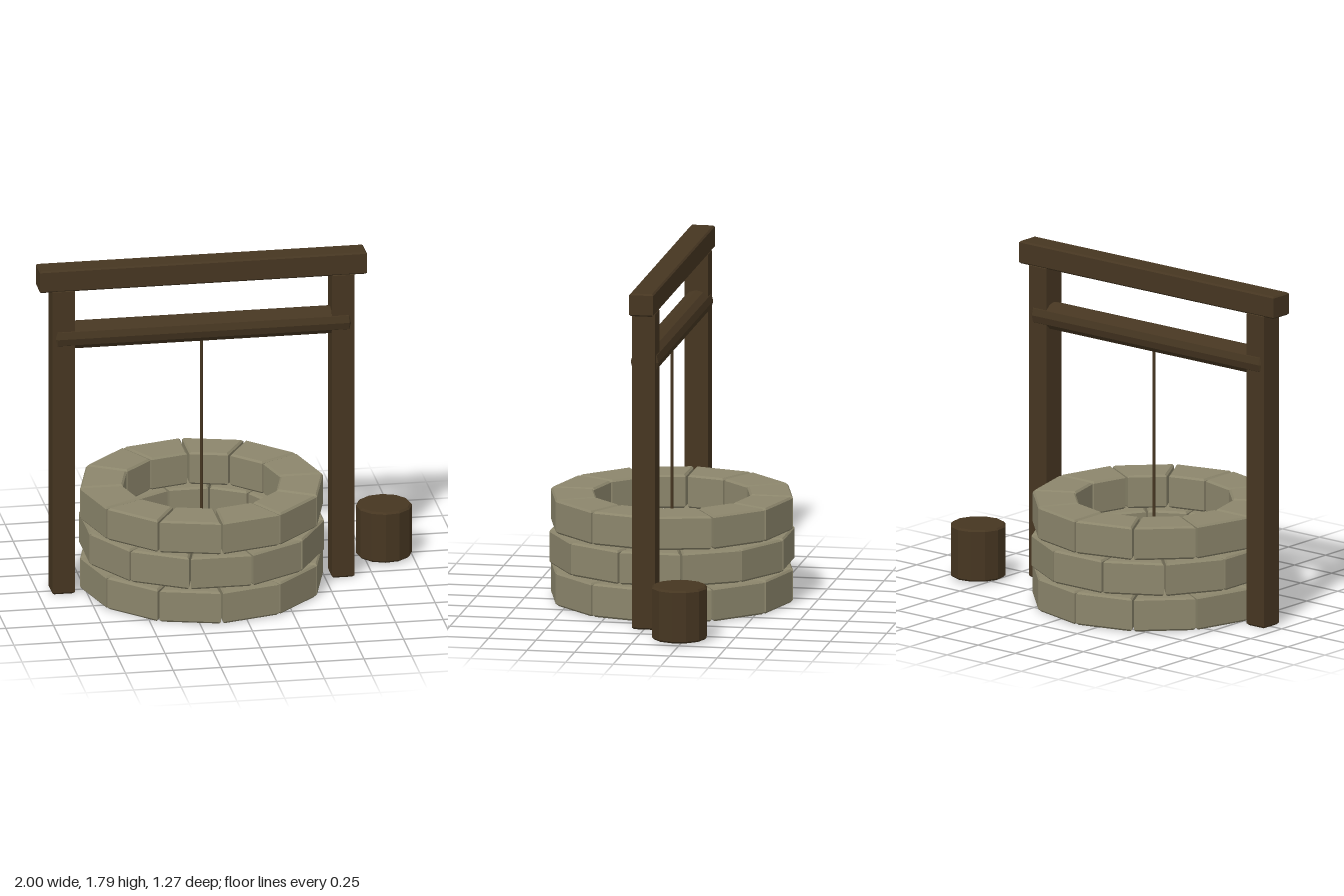
import * as THREE from 'three';

const stone = new THREE.MeshStandardMaterial({ name: 'stone', color: 0x8c866c });
const wood = new THREE.MeshStandardMaterial({ name: 'wood', color: 0x463621 });
const black = new THREE.MeshStandardMaterial({ name: 'darkWater', color: 0x060606, side: THREE.DoubleSide });

const WELL_X = -0.14;

// Upright prism with chamfered edges, standing on y = 0
function chamferedPrism(points, height, bevel) {
  const geometry = new THREE.ExtrudeGeometry(new THREE.Shape(points), {
    depth: height - 2 * bevel,
    bevelEnabled: true,
    bevelThickness: bevel,
    bevelSize: bevel,
    bevelOffset: -bevel,
    bevelSegments: 1,
  });
  return geometry.translate(0, 0, bevel).rotateX(-Math.PI / 2);
}

function rectangle(w, d) {
  return [[-1, -1], [1, -1], [1, 1], [-1, 1]].map(
    ([x, y]) => new THREE.Vector2((x * w) / 2, (y * d) / 2));
}

function polygon(radius, sides, offset = 0) {
  return Array.from({ length: sides }, (_, i) => {
    const a = (i / sides) * Math.PI * 2 + offset;
    return new THREE.Vector2(Math.cos(a) * radius, Math.sin(a) * radius);
  });
}

function addMesh(parent, name, geometry, material, x = 0, y = 0, z = 0) {
  const mesh = new THREE.Mesh(geometry, material);
  mesh.name = name;
  mesh.position.set(x, y, z);
  parent.add(mesh);
  return mesh;
}

export function createModel() {
  const model = new THREE.Group();
  model.name = 'well';

  // Three staggered rings of wedge-shaped stone blocks
  const count = 12, half = Math.PI / count, gap = 0.006;
  const outer = 0.637, inner = 0.412;
  const corner = (r, s) =>
    new THREE.Vector2(r * Math.cos(half), s * (r * Math.sin(half) - gap));
  const brick = chamferedPrism(
    [corner(inner, -1), corner(outer, -1), corner(outer, 1), corner(inner, 1)], 0.176, 0.01);
  for (let row = 0; row < 3; row++) {
    const ring = new THREE.Group();
    ring.name = 'stoneRing';
    ring.position.set(WELL_X, 0.004 + row * 0.191, 0);
    for (let i = 0; i < count; i++) {
      const block = addMesh(ring, 'stoneBlock', brick, stone);
      block.rotation.y = half * (2 * i + (row % 2 ? 0 : 1));
    }
    model.add(ring);
  }

  // Dark disc closing the shaft at the bottom
  const disc = new THREE.CircleGeometry(0.412, 48).rotateX(-Math.PI / 2);
  addMesh(model, 'water', disc, black, WELL_X, 0.002, 0);

  // Timber frame: two posts and the top beam
  const post = chamferedPrism(rectangle(0.118, 0.122), 1.68, 0.01);
  for (const side of [-1, 1]) {
    addMesh(model, side < 0 ? 'rightPost' : 'leftPost', post, wood, WELL_X + side * 0.733, 0, 0);
  }
  const beam = chamferedPrism(rectangle(1.715, 0.126), 0.12, 0.008);
  addMesh(model, 'topBeam', beam, wood, WELL_X, 1.67, 0);

  // Roller lying through the posts
  const roller = chamferedPrism(polygon(0.073, 12), 1.546, 0.01)
    .translate(0, -0.773, 0).rotateZ(Math.PI / 2);
  addMesh(model, 'roller', roller, wood, WELL_X, 1.41, 0);

  // Rope hanging from the roller
  addMesh(model, 'rope', new THREE.CylinderGeometry(0.008, 0.008, 1.03, 8), wood, WELL_X, 0.89, 0);

  // Bucket standing beside the well
  const bucket = chamferedPrism(polygon(0.146, 12, -0.1), 0.278, 0.01);
  addMesh(model, 'bucket', bucket, wood, 0.855, 0.01, -0.227);

  return model;
}
